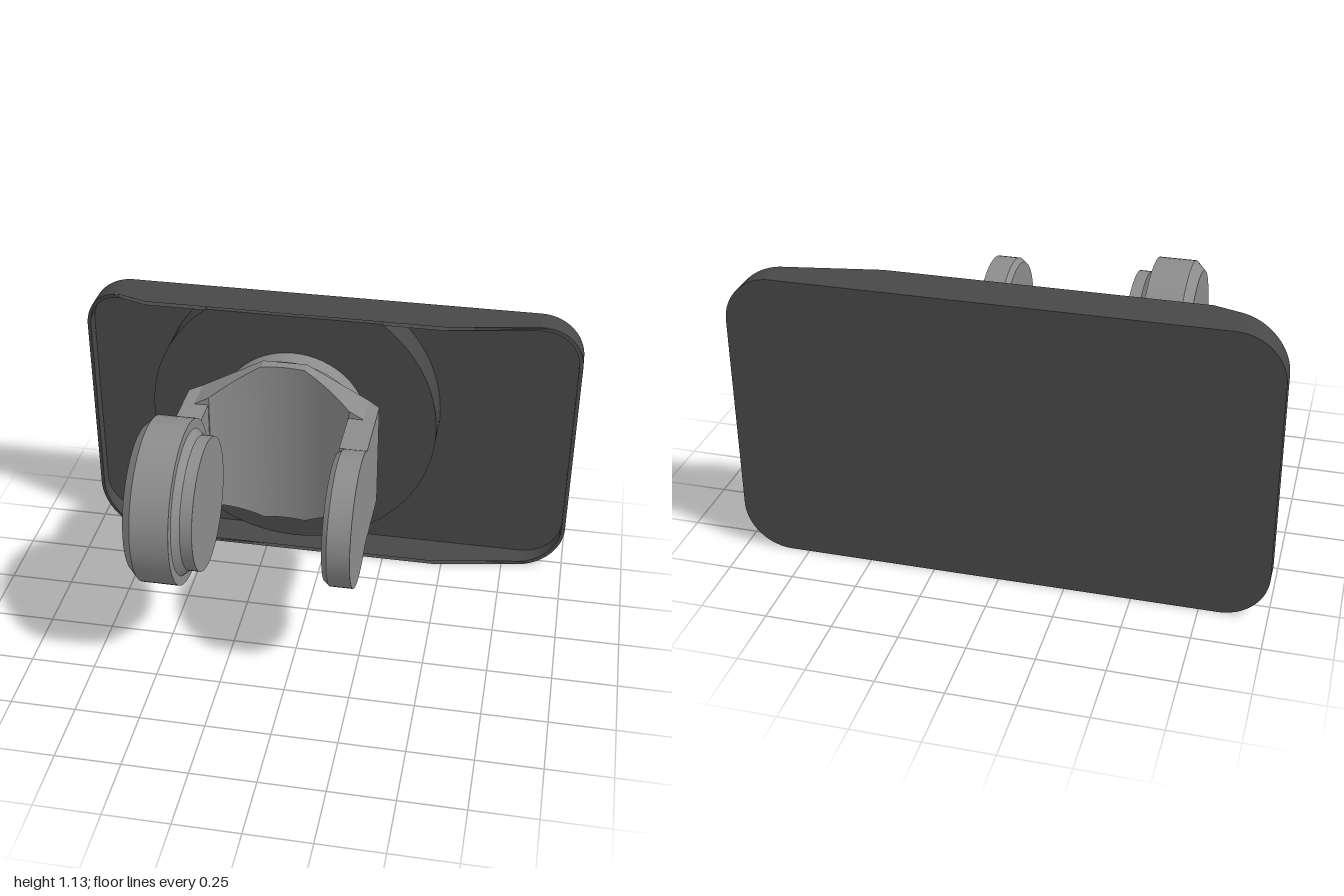
import * as THREE from 'three';
import { toCreasedNormals } from 'three/addons/utils/BufferGeometryUtils.js';

const CX = -0.13, CY = 0.655; // axis of the socket and yoke
const PIVOT_Z = 0.257; // axis of the two clamp discs
const dark = new THREE.MeshStandardMaterial({ color: 0x484848 });
const grey = new THREE.MeshStandardMaterial({ color: 0x8c8c8c });

function part(name, geometry, material) {
  const mesh = new THREE.Mesh(toCreasedNormals(geometry, 0.4), material);
  mesh.name = name;
  return mesh;
}

function extrude(shape, depth, z) {
  const g = new THREE.ExtrudeGeometry(shape, { depth, bevelEnabled: false, curveSegments: 14 });
  return g.translate(0, 0, z);
}

// Rounded rectangle with extra points where the rim changes slope
const KINKS = [-0.72, 0.46];
function roundedRect(path, inset) {
  const x = 1 - inset, y0 = inset, y1 = 1.13 - inset, r = 0.18 - inset;
  path.moveTo(-x + r, y0);
  KINKS.forEach(k => path.lineTo(k, y0));
  path.lineTo(x - r, y0);
  path.absarc(x - r, y0 + r, r, -Math.PI / 2, 0);
  path.absarc(x - r, y1 - r, r, 0, Math.PI / 2);
  [...KINKS].reverse().forEach(k => path.lineTo(k, y1));
  path.absarc(-x + r, y1 - r, r, Math.PI / 2, Math.PI);
  path.absarc(-x + r, y0 + r, r, Math.PI, Math.PI * 1.5);
  return path;
}

// Thin rim, taller in the middle and sloping down to both ends
function rimGeometry() {
  const shape = roundedRect(new THREE.Shape(), 0);
  shape.holes.push(roundedRect(new THREE.Path(), 0.015));
  const g = extrude(shape, 0.18, -0.575);
  const p = g.attributes.position;
  for (let i = 0; i < p.count; i++) {
    if (p.getZ(i) < -0.5) continue;
    const x = p.getX(i);
    const t = Math.min(1, (x + 1) / (KINKS[0] + 1), (1 - x) / (1 - KINKS[1]));
    p.setZ(i, -0.49 + 0.095 * t);
  }
  return g;
}

// Round boss cut flat by the top rim
function bossGeometry() {
  const r = 0.58, a = Math.asin((1.12 - CY) / r);
  const shape = new THREE.Shape();
  shape.absarc(CX, CY, r, Math.PI - a, Math.PI * 2 + a);
  const g = new THREE.ExtrudeGeometry(shape, { depth: 0.16, bevelEnabled: false, curveSegments: 56 });
  return g.translate(0, 0, -0.555);
}

// Yoke body: rectangles lofted along x, octagonal outline with a hollow front
function yokeGeometry() {
  const us = [-0.375, -0.33];
  for (let i = 0; i <= 24; i++) us.push(-0.272 + 0.544 * i / 24);
  us.push(-0.085, 0.085, 0.33, 0.375);
  us.sort((a, b) => a - b);
  const pos = [], idx = [];
  us.forEach(u => {
    const a = Math.abs(u);
    const h = THREE.MathUtils.mapLinear(THREE.MathUtils.clamp(a, 0.085, 0.33), 0.085, 0.33, 0.35, 0.215);
    const f = a > 0.273 ? -0.09 : 0.215 - Math.sqrt(0.41 ** 2 - u * u);
    const b = -0.235 + Math.max(0, a - 0.33);
    [[f, h], [f, -h], [b, -h], [b, h]].forEach(([z, y]) => pos.push(CX + u, CY + y, z));
  });
  for (let i = 0; i < us.length - 1; i++) {
    for (let j = 0; j < 4; j++) {
      const a = i * 4 + j, b = i * 4 + (j + 1) % 4;
      idx.push(a, b, b + 4, a, b + 4, a + 4);
    }
  }
  const e = (us.length - 1) * 4;
  idx.push(0, 2, 1, 0, 3, 2, e, e + 1, e + 2, e, e + 2, e + 3);
  const g = new THREE.BufferGeometry();
  g.setAttribute('position', new THREE.Float32BufferAttribute(pos, 3));
  g.setIndex(idx);
  g.computeVertexNormals();
  return g;
}

// Solid turned along x from [radius, x] points, rising in x
function turnedX(points) {
  const g = new THREE.LatheGeometry(points.map(([r, x]) => new THREE.Vector2(r, x)), 64);
  return g.rotateZ(-Math.PI / 2).translate(0, CY, PIVOT_Z);
}

function armGeometry(x0, x1, zEnd) {
  const z0 = -0.1;
  return new THREE.BoxGeometry(x1 - x0, 0.43, zEnd - z0).translate((x0 + x1) / 2, CY, (z0 + zEnd) / 2);
}

function collar(r, z0, z1) {
  return new THREE.CylinderGeometry(r, r, z1 - z0, 64).rotateX(Math.PI / 2).translate(CX, CY, (z0 + z1) / 2);
}

export function createModel() {
  const model = new THREE.Group();
  model.name = 'mountBracket';

  // Mounting plate
  model.add(
    part('backPlate', extrude(roundedRect(new THREE.Shape(), 0.004), 0.035, -0.575), dark),
    part('plateRim', rimGeometry(), dark),
    part('plateBoss', bossGeometry(), dark)
  );

  // Swivel neck and yoke
  model.add(
    part('neck', collar(0.303, -0.4, -0.27), grey),
    part('neckFlange', collar(0.33, -0.275, -0.23), grey),
    part('yoke', yokeGeometry(), grey)
  );

  // Left arm with its round end
  model.add(
    part('leftArm', armGeometry(0.14, 0.245, 0.12), grey),
    part('leftDisc', turnedX([[0, 0.14], [0.24, 0.14], [0.255, 0.16], [0.255, 0.245], [0, 0.245]]), grey)
  );

  // Right arm with its larger knob
  model.add(
    part('rightArm', armGeometry(-0.505, -0.405, 0.02), grey),
    part('rightKnob', turnedX([
      [0, -0.58], [0.28, -0.58], [0.315, -0.545], [0.315, -0.402], [0.278, -0.402],
      [0.255, -0.375], [0.255, -0.33], [0, -0.33]
    ]), grey)
  );
  return model;
}
